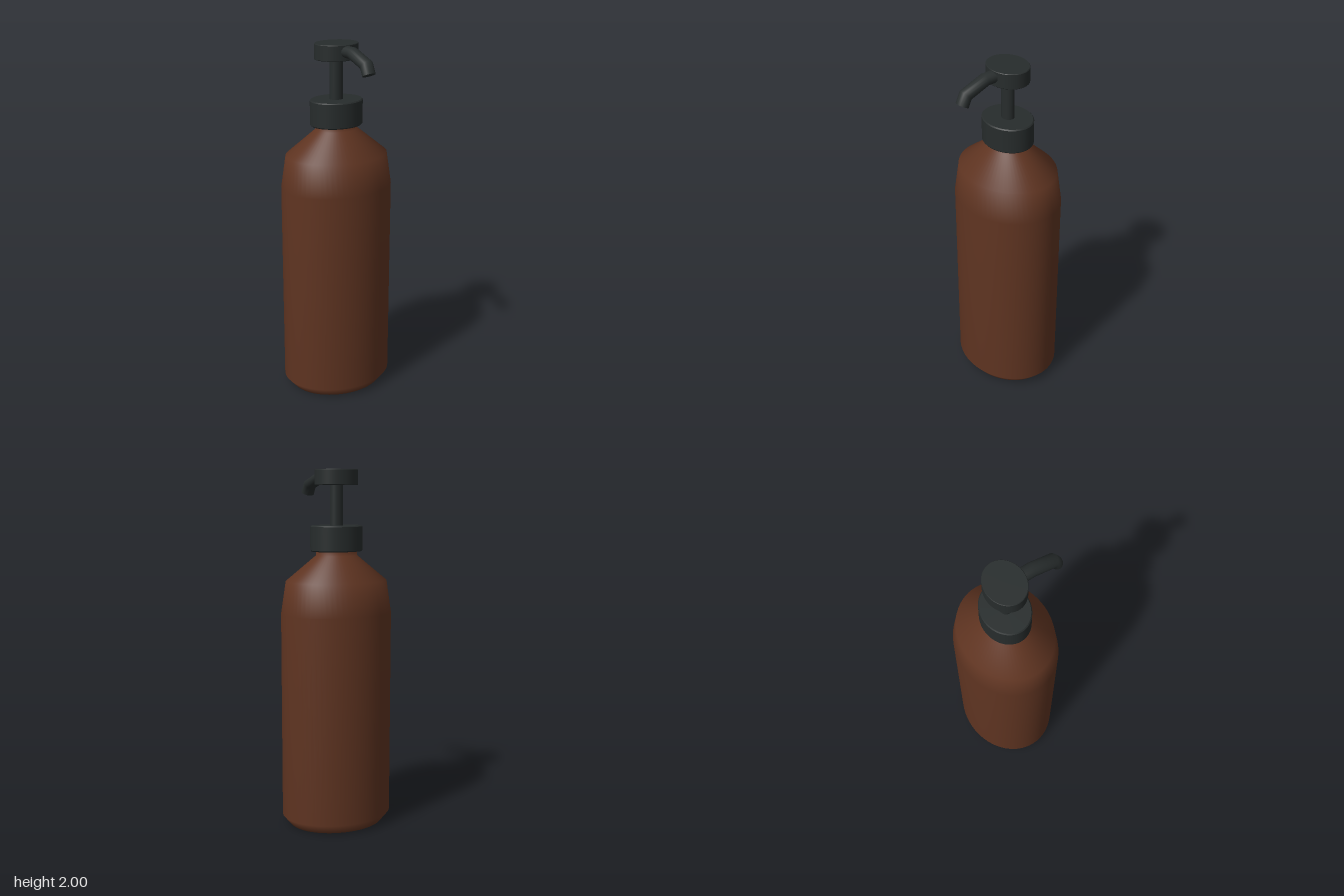
import * as THREE from 'three';

const DEPTH = 0.843;   // every round part is an oval, narrower in z
const CENTER_Z = -0.027;

const amber = new THREE.MeshStandardMaterial({ color: 0x5f3421 });
const black = new THREE.MeshStandardMaterial({ color: 0x272c2c });

// Oval solid turned from [radius, y] points, bottom to top
function turned(name, points, material) {
  const profile = points.map(([r, y]) => new THREE.Vector2(r, y));
  const geometry = new THREE.LatheGeometry(profile, 64);
  geometry.scale(1, 1, DEPTH);
  const mesh = new THREE.Mesh(geometry, material);
  mesh.name = name;
  mesh.position.z = CENTER_Z;
  return mesh;
}

// Flat-ended disc with a tiny bevel; doubled points keep the edges crisp
function disc(name, radius, y0, y1, bevel = 0.006) {
  const r = radius - bevel;
  return turned(name, [
    [0, y0], [r, y0], [r, y0], [radius, y0 + bevel], [radius, y0 + bevel],
    [radius, y1 - bevel], [radius, y1 - bevel], [r, y1], [r, y1], [0, y1],
  ], black);
}

// Bent nozzle: a cylinder whose rings are moved onto a mitred path in the yz plane
function spout() {
  const path = [[1.963, 0.02], [1.963, 0.125], [1.919, 0.249], [1.87, 0.273]]
    .map(([y, z]) => new THREE.Vector3(0, y, z));
  const last = path.length - 1;
  const frames = path.map((p, i) => {
    const a = path[Math.max(i - 1, 0)], b = path[Math.min(i + 1, last)];
    const before = (i > 0 ? p.clone().sub(a) : b.clone().sub(p)).normalize();
    const after = (i < last ? b.clone().sub(p) : p.clone().sub(a)).normalize();
    const dir = before.clone().add(after).normalize();
    const miter = 0.032 / dir.dot(after);
    return { p, across: new THREE.Vector3(0, -dir.z, dir.y).multiplyScalar(miter) };
  });
  const geometry = new THREE.CylinderGeometry(1, 1, 1, 16, last);
  const pos = geometry.attributes.position;
  for (let i = 0; i < pos.count; i++) {
    const { p, across } = frames[Math.round((pos.getY(i) + 0.5) * last)];
    const s = pos.getZ(i);
    pos.setXYZ(i, pos.getX(i) * 0.038, p.y + across.y * s, p.z + across.z * s);
  }
  geometry.computeVertexNormals();
  const mesh = new THREE.Mesh(geometry, black);
  mesh.name = 'spout';
  return mesh;
}

export function createModel() {
  const model = new THREE.Group();
  model.name = 'pumpBottle';

  // Bottle with chamfered foot, tapered shoulder and short neck
  model.add(turned('bottle', [
    [0, 0], [0.275, 0], [0.275, 0], [0.323, 0.055], [0.323, 1.21],
    [0.295, 1.39], [0.12, 1.53], [0.12, 1.57],
  ], amber));

  // Pump: collar, stem, press head and nozzle
  model.add(disc('collar', 0.152, 1.553, 1.695));
  model.add(turned('stem', [[0.038, 1.68], [0.038, 1.93]], black));
  model.add(disc('pumpHead', 0.125, 1.915, 2, 0.003));
  model.add(spout());
  return model;
}
